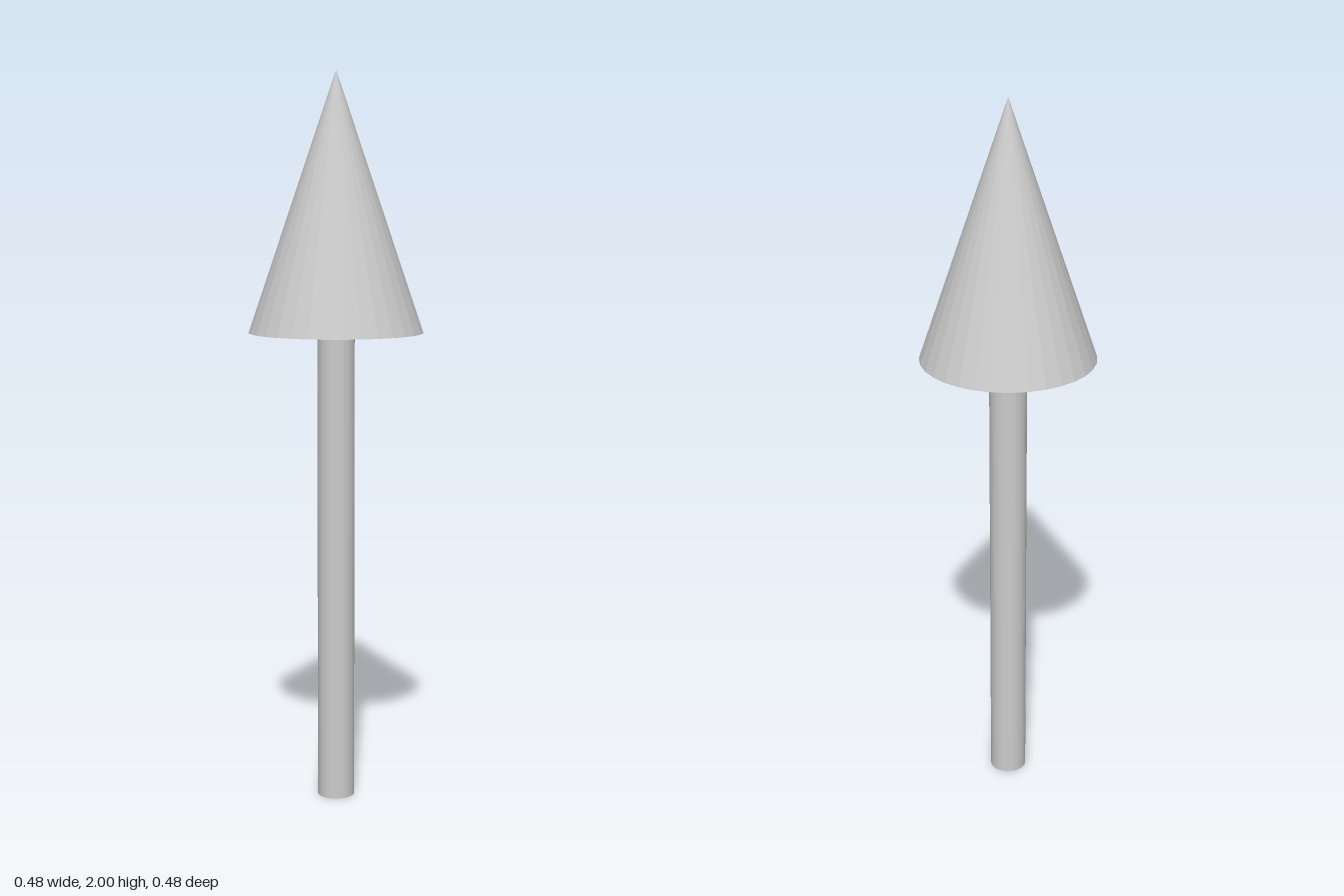
import * as THREE from 'three';

const SIDES = 32;
const SHAFT_HEIGHT = 1.3;
const HEAD_HEIGHT = 0.7;

export function createModel() {
  const model = new THREE.Group();
  model.name = 'arrow';
  const material = new THREE.MeshStandardMaterial({ color: 0xcccccc, flatShading: true });

  // Slim round shaft standing on the ground
  const shaft = new THREE.Mesh(
    new THREE.CylinderGeometry(0.051, 0.051, SHAFT_HEIGHT, SIDES), material);
  shaft.name = 'shaft';
  shaft.position.y = SHAFT_HEIGHT / 2;

  // Faceted cone with a closed base
  const head = new THREE.Mesh(
    new THREE.ConeGeometry(0.238, HEAD_HEIGHT, SIDES), material);
  head.name = 'arrowHead';
  head.position.y = SHAFT_HEIGHT + HEAD_HEIGHT / 2;

  model.add(shaft, head);
  return model;
}
